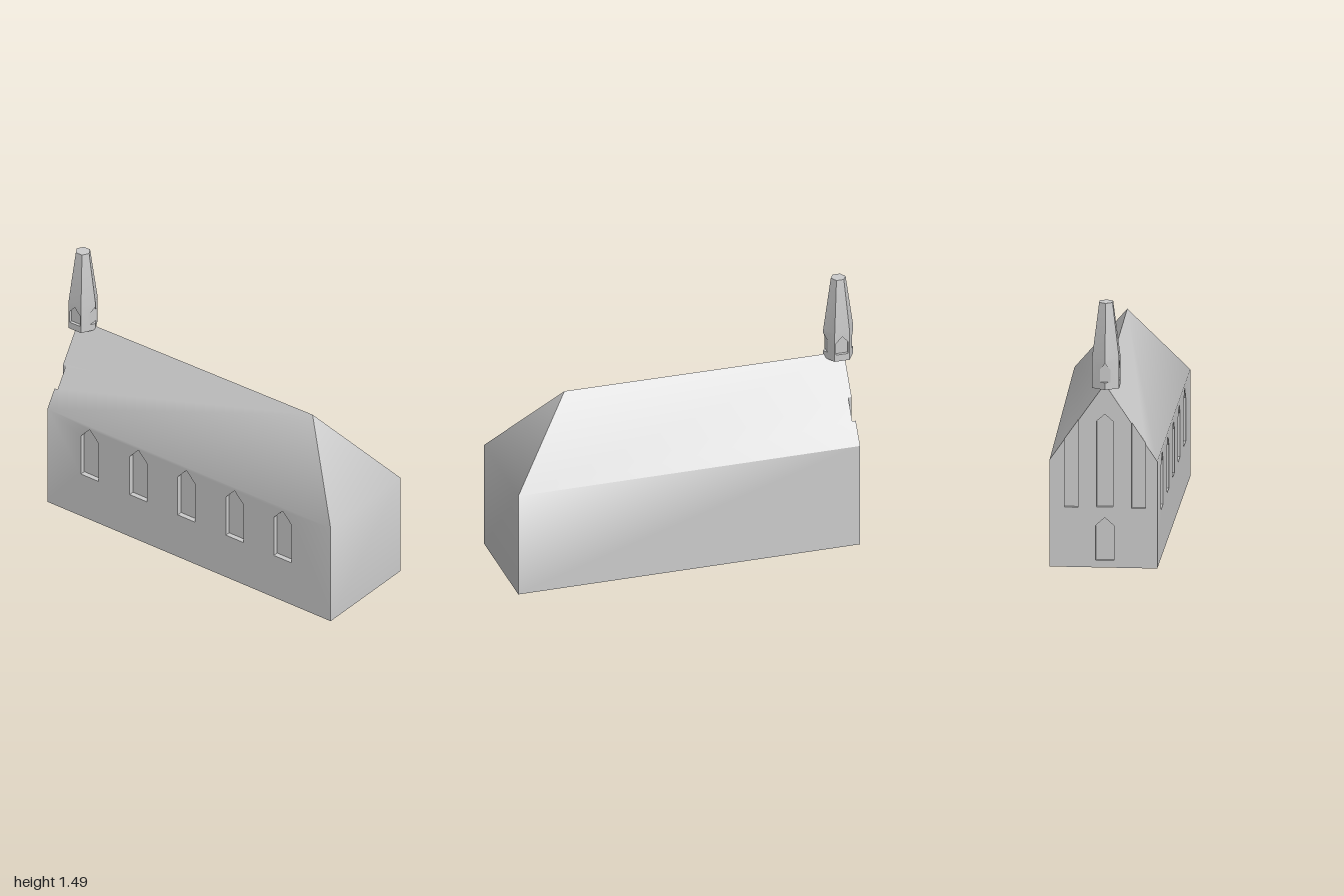
import * as THREE from 'three';
import { mergeGeometries, toCreasedNormals } from 'three/addons/utils/BufferGeometryUtils.js';

const WEST = -0.945, EAST = 1, EAVE = 0.6, RIDGE = 1.03, HIP = 0.64;
const along = (x) => (x - WEST) / (EAST - WEST);
const frontZ = (x) => 0.285 + 0.03 * along(x);
const backZ = (x) => -0.3 - 0.015 * along(x);
const roofY = (x, z) => RIDGE - (RIDGE - EAVE) * z / (z > 0 ? frontZ(x) : backZ(x));

// Flat outline with holes, placed in space by map(u, v, depth)
function panel(points, map, depth = 0, holes = []) {
  const toVec = (list) => list.map(([u, v]) => new THREE.Vector2(u, v));
  const shape = new THREE.Shape(toVec(points));
  for (const h of holes) shape.holes.push(new THREE.Path(toVec(h)));
  const geo = new THREE.ShapeGeometry(shape).toNonIndexed();
  geo.deleteAttribute('uv');
  geo.deleteAttribute('normal');
  const p = geo.attributes.position;
  for (let i = 0; i < p.count; i++) p.setXYZ(i, ...map(p.getX(i), p.getY(i), depth));
  return geo;
}

// Inner sides of a recess along a counter-clockwise path
function reveal(path, map, depth, closed = true) {
  const pos = [];
  const n = closed ? path.length : path.length - 1;
  for (let i = 0; i < n; i++) {
    const a = path[i], b = path[(i + 1) % path.length];
    const p = map(...a, 0), q = map(...b, 0), q2 = map(...b, depth), p2 = map(...a, depth);
    pos.push(...p, ...q, ...q2, ...p, ...q2, ...p2);
  }
  return new THREE.BufferGeometry().setAttribute('position', new THREE.Float32BufferAttribute(pos, 3));
}

// Pointed-arch outline
const lancet = (c, half, bottom, shoulder, apex) => [
  [c - half, bottom], [c + half, bottom], [c + half, shoulder], [c, apex], [c - half, shoulder]];

export function createModel() {
  const group = new THREE.Group();
  const stone = new THREE.MeshStandardMaterial({ color: 0xcccccc });
  stone.name = 'light grey stone';

  const add = (name, parts, smooth) => {
    let geo = mergeGeometries(parts);
    if (smooth) geo = toCreasedNormals(geo, 0.72);
    else geo.computeVertexNormals();
    const mesh = new THREE.Mesh(geo, stone);
    mesh.name = name;
    group.add(mesh);
  };

  // Placement of each side
  const front = (x, y, d) => [x, y, frontZ(x) - d];
  const back = (u, y) => [-u, y, backZ(-u)];
  const west = (z, y, d) => [WEST + d, y, z];
  const east = (u, y) => [EAST, y, -u];
  const roof = (x, v) => [x, roofY(x, -v), -v];

  const windows = [-0.655, -0.32, 0.01, 0.34, 0.67].map((x) => lancet(x, 0.06, 0.27, 0.515, 0.58));
  const gableOpenings = [lancet(0, 0.045, 0.34, 0.82, 0.86), lancet(0, 0.05, 0.04, 0.235, 0.28)];
  const SLOT_IN = 0.145, SLOT_OUT = 0.22, SLOT_BOTTOM = 0.335, D = 0.02, WD = 0.03;

  // Slots in the gable that run out through the roof edge
  const slot = (a, b) => [[a, roofY(WEST, a)], [a, SLOT_BOTTOM], [b, SLOT_BOTTOM], [b, roofY(WEST, b)]];
  const slots = [slot(SLOT_IN, SLOT_OUT), slot(-SLOT_OUT, -SLOT_IN)];

  const gable = [
    [backZ(WEST), 0], [frontZ(WEST), 0], [frontZ(WEST), EAVE],
    ...[...slots[0]].reverse(), [0, RIDGE], ...[...slots[1]].reverse(), [backZ(WEST), EAVE]];

  const roofSide = (s, edge) => panel([
    [WEST, 0], [HIP, 0], [EAST, -edge(EAST)], [WEST, -edge(WEST)],
    [WEST, -s * SLOT_OUT], [WEST + D, -s * SLOT_OUT],
    [WEST + D, -s * SLOT_IN], [WEST, -s * SLOT_IN]], roof);

  // Hipped east end of the roof
  const hip = new THREE.BufferGeometry().setAttribute('position', new THREE.Float32BufferAttribute(
    [EAST, EAVE, frontZ(EAST), EAST, EAVE, backZ(EAST), HIP, RIDGE, 0], 3));

  add('hallShell', [
    panel([[WEST, 0], [EAST, 0], [EAST, EAVE], [WEST, EAVE]], front, 0, windows),
    panel([[-EAST, 0], [-WEST, 0], [-WEST, EAVE], [-EAST, EAVE]], back),
    panel([[-frontZ(EAST), 0], [-backZ(EAST), 0], [-backZ(EAST), EAVE], [-frontZ(EAST), EAVE]], east),
    panel(gable, west, 0, gableOpenings),
    panel([[WEST, backZ(WEST)], [EAST, backZ(EAST)], [EAST, frontZ(EAST)], [WEST, frontZ(WEST)]],
      (x, z) => [x, 0, z]),
    roofSide(1, frontZ), roofSide(-1, backZ), hip,
  ], true);

  add('sideWindows', windows.flatMap((w) => [reveal(w, front, WD), panel(w, front, WD)]));
  add('gableDoorAndWindow', gableOpenings.flatMap((w) => [reveal(w, west, D), panel(w, west, D)]));
  add('gableSlots', slots.flatMap((s) => [reveal(s, west, D, false), panel(s, west, D)]));

  // Six-sided turret, with corners on the x axis
  const CX = -0.915, CZ = 0.005, R = 0.085, TOP_R = 0.042;
  const BASE = 1.01, SHOULDER = 1.18, TOP = 1.485;
  const SILL = 1.05, SPRING = 1.12, APEX = 1.157, CUT = 0.017;
  const corner = (k, r) => [r * Math.cos(k * Math.PI / 3), r * Math.sin(k * Math.PI / 3)];
  const shell = [], niches = [];
  const notch = 2 * CUT;

  for (let k = 0; k < 6; k++) {
    // Seen from outside, each face runs from corner k + 1 to corner k
    const a = corner(k + 1, R), b = corner(k, R);
    const at = corner(k + 1, TOP_R), bt = corner(k, TOP_R);
    const mid = corner(k + 0.5, 1);
    const face = (u, v, d) => [
      CX + a[0] + (b[0] - a[0]) * u / R - mid[0] * d, v,
      CZ + a[1] + (b[1] - a[1]) * u / R - mid[1] * d];
    if (k % 3 === 1) {
      const niche = lancet(R / 2, 0.034, SILL, SPRING, APEX);
      shell.push(panel([[0, BASE], [R, BASE], [R, SHOULDER], [0, SHOULDER]], face, 0, [niche]));
      niches.push(reveal(niche, face, CUT), panel(niche, face, CUT));
    } else {
      // Face whose corner on the x axis is cut back
      const atEnd = k % 3 === 0;
      const m = (u) => (atEnd ? R - u : u);
      shell.push(panel([
        [m(0), BASE], [m(R), BASE], [m(R), SHOULDER], [m(0), SHOULDER],
        [m(0), APEX], [m(notch), SPRING], [m(notch), SILL], [m(0), SILL]], face));
    }
    // Tapering spire face
    const slope = (u, t) => {
      const [l, r] = [[0, 1].map((i) => a[i] + (at[i] - a[i]) * t), [0, 1].map((i) => b[i] + (bt[i] - b[i]) * t)];
      return [CX + l[0] + (r[0] - l[0]) * u, SHOULDER + (TOP - SHOULDER) * t, CZ + l[1] + (r[1] - l[1]) * u];
    };
    shell.push(panel([[0, 0], [1, 0], [1, 1], [0, 1]], slope));
  }

  // Niches across the two corners on the x axis
  const w = CUT * Math.sqrt(3);
  const cornerNiche = [[-w, SILL], [0, SILL], [w, SILL], [w, SPRING], [0, APEX], [-w, SPRING]];
  for (const s of [1, -1]) {
    const map = (u, v, d) => [CX + s * (d ? R - CUT : R - Math.abs(u) / Math.sqrt(3)), v, CZ - s * u];
    niches.push(reveal(cornerNiche, map, CUT), panel(cornerNiche, map, CUT));
  }

  // Turret underside and spire cap
  const ring = (r) => [0, 1, 2, 3, 4, 5].map((k) => corner(k, r));
  shell.push(panel(ring(R), (x, z) => [CX + x, BASE, CZ + z]));
  shell.push(panel(ring(TOP_R), (x, v) => [CX + x, TOP, CZ - v]));
  add('turretAndSpire', shell, true);
  add('turretNiches', niches);

  return group;
}
